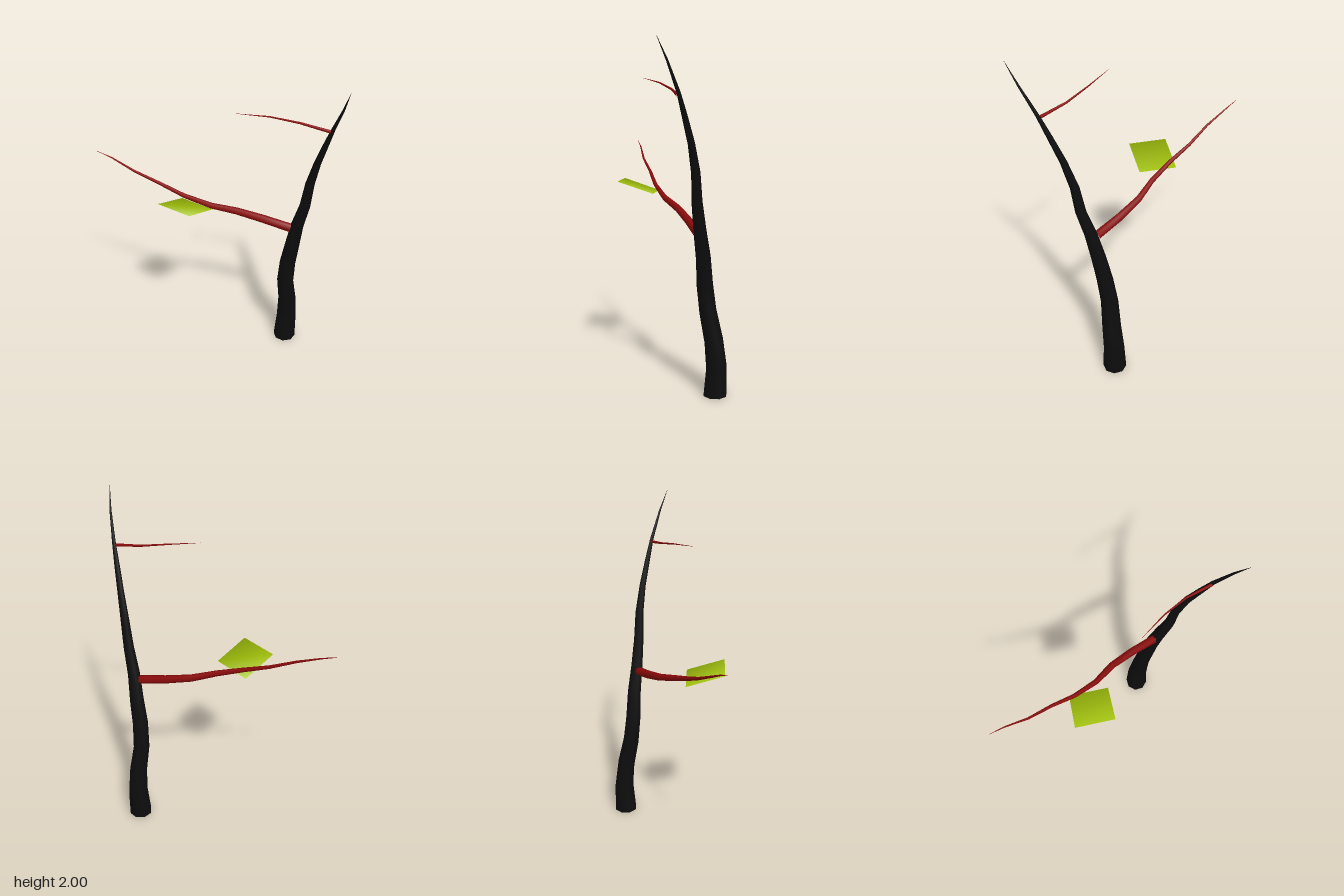
import * as THREE from 'three';

// Tapered limb: rings of vertices along [x, y, z, radius] points
function limb(points, sides, ref, startDir) {
  const centres = points.map(p => new THREE.Vector3(p[0], p[1], p[2]));
  const last = centres.length - 1;
  const pos = [], index = [];
  centres.forEach((c, i) => {
    const t = i === 0 && startDir ? startDir.clone()
      : centres[Math.min(i + 1, last)].clone().sub(centres[Math.max(i - 1, 0)]).normalize();
    const u = new THREE.Vector3().crossVectors(ref, t).normalize();
    const v = new THREE.Vector3().crossVectors(t, u);
    for (let j = 0; j < sides; j++) {
      const a = j / sides * Math.PI * 2;
      const p = c.clone()
        .addScaledVector(u, Math.cos(a) * points[i][3])
        .addScaledVector(v, Math.sin(a) * points[i][3]);
      pos.push(p.x, p.y, p.z);
      if (i < last) {
        const k = (j + 1) % sides, r = i * sides, s = r + sides;
        index.push(r + j, r + k, s + j, r + k, s + k, s + j);
      }
    }
  });
  const g = new THREE.BufferGeometry();
  g.setAttribute('position', new THREE.Float32BufferAttribute(pos, 3));
  g.setIndex(index);
  g.computeVertexNormals();
  return g;
}

export function createModel() {
  const model = new THREE.Group();
  const bark = new THREE.MeshStandardMaterial({ color: 0x0d0d0d });
  const twig = new THREE.MeshStandardMaterial({ color: 0x8a0a0a });
  const leafMat = new THREE.MeshStandardMaterial({ color: 0xa4c40c, side: THREE.DoubleSide });
  const add = (name, geometry, material) => {
    const m = new THREE.Mesh(geometry, material);
    m.name = name;
    model.add(m);
    return m;
  };
  const up = new THREE.Vector3(0, 1, 0), front = new THREE.Vector3(0, 0, 1);

  // Leaning trunk
  add('trunk', limb([
    [0.42, 0, 0.09, 0.07], [0.428, 0.17, 0.092, 0.062], [0.415, 0.33, 0.105, 0.056],
    [0.382, 0.5, 0.117, 0.051], [0.373, 0.66, 0.142, 0.048], [0.377, 0.82, 0.173, 0.043],
    [0.373, 0.98, 0.212, 0.037], [0.379, 1.14, 0.262, 0.031], [0.383, 1.3, 0.288, 0.026],
    [0.381, 1.46, 0.34, 0.02], [0.374, 1.6, 0.402, 0.016], [0.367, 1.72, 0.457, 0.011],
    [0.348, 1.88, 0.545, 0.006], [0.323, 2, 0.61, 0.0005],
  ], 8, front, up), bark);

  // Flat underside of the trunk
  const base = add('trunkBase', new THREE.CircleGeometry(0.07, 8), bark);
  base.rotation.x = Math.PI / 2;
  base.position.set(0.42, 0, 0.09);

  // Long lower branch
  add('lowerBranch', limb([
    [0.345, 0.953, 0.183, 0.026], [0.23, 0.995, 0.065, 0.024], [0.11, 1.038, -0.04, 0.021],
    [-0.02, 1.083, -0.115, 0.017], [-0.14, 1.14, -0.22, 0.013], [-0.235, 1.2, -0.33, 0.01],
    [-0.345, 1.27, -0.435, 0.007], [-0.43, 1.335, -0.545, 0.004], [-0.49, 1.367, -0.612, 0.0005],
  ], 6, up), twig);

  // Thin upper branch
  add('upperBranch', limb([
    [0.36, 1.709, 0.45, 0.009], [0.252, 1.738, 0.324, 0.006],
    [0.13, 1.767, 0.225, 0.004], [-0.025, 1.789, 0.127, 0.0005],
  ], 6, up), twig);

  // Single square leaf, normals fanned outwards for soft shading
  const corners = [
    [-0.337, 1.172, -0.186], [-0.26, 1.18, 0.03], [-0.057, 1.112, -0.04], [-0.132, 1.102, -0.254],
  ];
  const leaf = new THREE.BufferGeometry();
  leaf.setAttribute('position', new THREE.Float32BufferAttribute(corners.flat(), 3));
  leaf.setAttribute('normal', new THREE.Float32BufferAttribute(corners.flatMap(([x, , z]) =>
    new THREE.Vector3(x + 0.197, 0.16, z + 0.112).normalize().toArray()), 3));
  leaf.setIndex([0, 1, 2, 0, 2, 3]);
  add('leaf', leaf, leafMat);

  return model;
}
